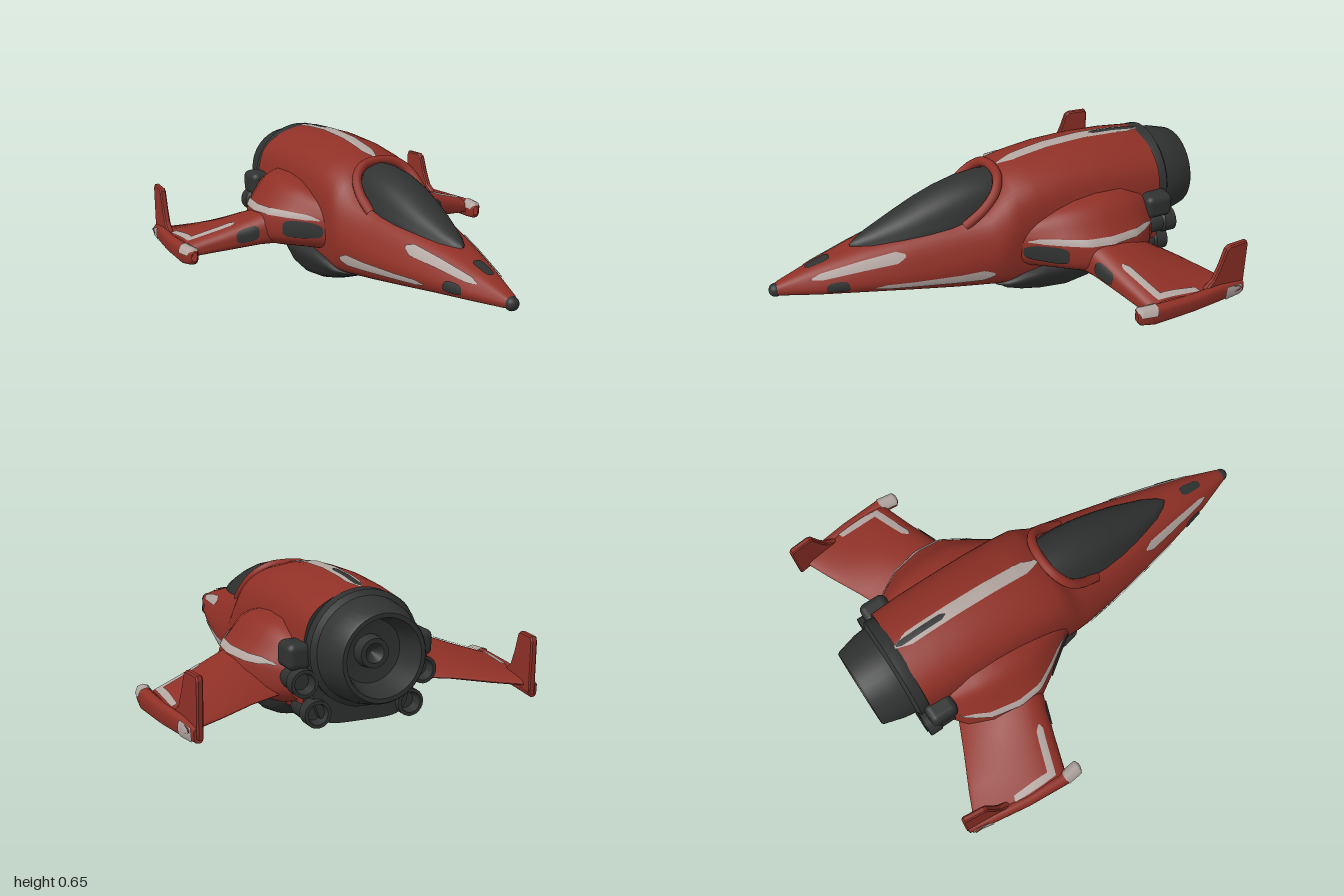
import * as THREE from 'three';
import { mergeVertices, toCreasedNormals } from 'three/addons/utils/BufferGeometryUtils.js';
import { RoundedBoxGeometry } from 'three/addons/geometries/RoundedBoxGeometry.js';

const lerp = THREE.MathUtils.lerp;
const paint = (name, color) => {
  const m = new THREE.MeshStandardMaterial({ color, side: THREE.DoubleSide });
  m.name = name;
  return m;
};

// Quad grid over f(s, t), both 0..1, facing dt x ds
function grid(f, ns, nt) {
  const pos = [], index = [];
  for (let j = 0; j <= nt; j++)
    for (let i = 0; i <= ns; i++) pos.push(...f(i / ns, j / nt).toArray());
  for (let j = 0; j < nt; j++)
    for (let i = 0; i < ns; i++) {
      const a = j * (ns + 1) + i, b = a + 1, c = a + ns + 1, d = c + 1;
      index.push(a, c, b, b, c, d);
    }
  let g = new THREE.BufferGeometry();
  g.setAttribute('position', new THREE.Float32BufferAttribute(pos, 3));
  g.setIndex(index);
  g = mergeVertices(g, 1e-5);
  g.computeVertexNormals();
  return g;
}

// Lofted surface: each key row starts with its station, section(row) gives the outline points
function loft(keys, section, closed = true) {
  const dir = Math.sign(keys.at(-1)[0] - keys[0][0]);
  const row = (c) => {
    let i = 0;
    while (i < keys.length - 2 && (c - keys[i + 1][0]) * dir > 0) i++;
    const [a, b] = [keys[i], keys[i + 1]];
    const t = THREE.MathUtils.clamp((c - a[0]) / (b[0] - a[0]), 0, 1);
    return a.map((v, k) => lerp(v, b[k], t));
  };
  const at = (u, c) => {
    const pts = section(row(c)).map((p) => new THREE.Vector3(...p));
    const w = closed ? ((u % 1) + 1) % 1 : u;
    return new THREE.CatmullRomCurve3(pts, closed, 'catmullrom', 0.5).getPoint(w);
  };
  const raised = (u, c, h) => {
    const e = 0.004;
    const du = at(u + e, c).sub(at(u - e, c));
    const dv = at(u, c + dir * e).sub(at(u, c - dir * e));
    return at(u, c).addScaledVector(dv.cross(du).normalize(), h);
  };
  return {
    skin: (nu) => grid((s, t) => at(s, keys[Math.round(t * (keys.length - 1))][0]), nu, keys.length - 1),
    // Closes the last station
    cap: (nu) => {
      const c = keys.at(-1)[0], mid = new THREE.Vector3();
      for (let i = 0; i < nu; i++) mid.addScaledVector(at(i / nu, c), 1 / nu);
      return grid((s, t) => at(s, c).lerp(mid, t), nu, 1);
    },
    // Painted band, tapered towards both ends
    band: (u0, u1, c0, c1, h = 0.005) => grid((s, t) => {
      const w = Math.min(1, 0.25 + 8 * Math.min(t, 1 - t));
      return raised(lerp(u0, u1, 0.5 + (s - 0.5) * w), lerp(c0, c1, t), h);
    }, 4, 30),
    // Rounded painted opening
    spot: (u0, c0, ru, rc, h = 0.005) => grid((s, t) => {
      const p = (v) => Math.sign(v) * Math.abs(v) ** 0.6, a = s * Math.PI * 2;
      return raised(u0 + ru * t * p(Math.cos(a)), c0 - dir * rc * t * p(Math.sin(a)), h);
    }, 32, 4),
  };
}

const mirrorHalf = (half) => [...half, ...half.slice(1, -1).reverse().map(([x, y, z]) => [-x, y, z])];

// Turned part whose axis points backwards; profile is [radius, distance back]
const turned = (profile, n) => toCreasedNormals(
  new THREE.LatheGeometry(profile.map((p) => new THREE.Vector2(...p)), n).rotateX(-Math.PI / 2), 0.6);

export function createModel() {
  const model = new THREE.Group();
  model.name = 'starship';
  const red = paint('hull red', 0x8f3026);
  const pale = paint('stripe pale grey', 0xb3a6a1);
  const dark = paint('dark grey', 0x303131);
  const add = (parent, name, geo, mat, x = 0, y = 0, z = 0) => {
    const m = new THREE.Mesh(geo, mat);
    m.name = name;
    m.position.set(x, y, z);
    parent.add(m);
    return m;
  };

  // Fuselage: z, half width, bottom, chine, side top, shoulder half width, shoulder, top
  const hull = loft([
    [0.99, 0.02, 0.195, 0.203, 0.21, 0.012, 0.22, 0.225],
    [0.95, 0.035, 0.186, 0.2, 0.215, 0.025, 0.235, 0.242],
    [0.8, 0.088, 0.175, 0.195, 0.225, 0.05, 0.278, 0.292],
    [0.6, 0.14, 0.155, 0.19, 0.24, 0.085, 0.325, 0.348],
    [0.4, 0.183, 0.13, 0.18, 0.25, 0.12, 0.362, 0.382],
    [0.2, 0.222, 0.105, 0.17, 0.27, 0.148, 0.395, 0.41],
    [0.03, 0.247, 0.084, 0.162, 0.3, 0.168, 0.43, 0.45],
    [-0.03, 0.25, 0.08, 0.16, 0.36, 0.17, 0.5, 0.535],
    [-0.08, 0.25, 0.08, 0.16, 0.41, 0.172, 0.54, 0.59],
    [-0.18, 0.25, 0.08, 0.16, 0.43, 0.176, 0.56, 0.615],
    [-0.32, 0.25, 0.08, 0.16, 0.44, 0.18, 0.575, 0.637],
    [-0.5, 0.25, 0.08, 0.16, 0.44, 0.18, 0.58, 0.645],
    [-0.66, 0.248, 0.09, 0.16, 0.44, 0.18, 0.572, 0.637],
    [-0.79, 0.243, 0.1, 0.16, 0.43, 0.178, 0.558, 0.62],
  ], ([z, w, yb, yc, ys, wt, ysh, yt]) => mirrorHalf([
    [0, yb, z], [w * 0.75, lerp(yb, yc, 0.2), z], [w, yc, z], [w, ys, z], [wt, ysh, z], [0, yt, z]]));
  add(model, 'fuselage', hull.skin(60), red);
  add(model, 'rearBulkhead', hull.cap(60), dark);
  add(model, 'noseTip', new THREE.SphereGeometry(0.03, 20, 14), dark, 0, 0.207, 0.968);
  add(model, 'noseSensor', hull.spot(0.5, 0.775, 0.04, 0.055), dark);
  add(model, 'dorsalStripe', hull.band(0.484, 0.516, -0.08, -0.79), pale);
  add(model, 'dorsalSlot', hull.band(0.493, 0.507, -0.54, -0.785, 0.008), dark);

  // Canopy: z, half width, top, base
  const canopy = loft([
    [0.625, 0.006, 0.35, 0.32], [0.6, 0.032, 0.368, 0.32], [0.54, 0.06, 0.397, 0.33],
    [0.4, 0.1, 0.458, 0.345], [0.3, 0.12, 0.503, 0.355], [0.2, 0.134, 0.54, 0.365],
    [0.1, 0.14, 0.566, 0.38], [0, 0.135, 0.577, 0.4], [-0.07, 0.11, 0.574, 0.42],
  ], ([z, w, yt, yb]) => mirrorHalf([
    [0, yb - 0.03, z], [w, yb, z], [w * 0.92, lerp(yb, yt, 0.45), z], [w * 0.6, lerp(yb, yt, 0.83), z], [0, yt, z]]));
  add(model, 'canopy', canopy.skin(40), dark);
  const rim = [[0.15, 0.4, 0.14], [0.155, 0.47, 0.05], [0.135, 0.53, -0.01], [0.08, 0.572, -0.045]];
  const rimPath = new THREE.CatmullRomCurve3([
    ...rim, [0, 0.582, -0.055], ...[...rim].reverse().map(([x, y, z]) => [-x, y, z]),
  ].map((p) => new THREE.Vector3(...p)));
  add(model, 'canopyRim', new THREE.TubeGeometry(rimPath, 40, 0.022, 10), red);

  // Belly engine housing: z, half width, bottom, top
  const belly = loft([
    [0.01, 0.19, 0.088, 0.1], [-0.03, 0.232, 0.062, 0.125], [-0.1, 0.25, 0.037, 0.15],
    [-0.2, 0.256, 0.014, 0.17], [-0.33, 0.256, 0, 0.172], [-0.44, 0.25, 0.016, 0.172],
    [-0.52, 0.235, 0.055, 0.172], [-0.58, 0.225, 0.082, 0.18], [-0.82, 0.2, 0.085, 0.25],
  ], ([z, w, yb, yt]) => mirrorHalf([
    [0, yb, z], [w * 0.75, yb + 0.008, z], [w, lerp(yb, yt, 0.4), z], [w, yt, z], [0, yt + 0.02, z]]));
  add(model, 'bellyHousing', belly.skin(48), dark);
  add(model, 'bellyRear', belly.cap(48), dark);

  // Main engine
  add(model, 'mainEngine', turned([
    [0, 0.75], [0.225, 0.76], [0.238, 0.79], [0.238, 0.835], [0.216, 0.85], [0.21, 0.9], [0.185, 0.99],
    [0.178, 1], [0.16, 1], [0.145, 0.95], [0.13, 0.88], [0, 0.86]], 36), dark, 0, 0.385, 0);
  add(model, 'mainEngineHub', turned([[0.07, 0.85], [0.06, 0.92], [0.04, 0.92], [0, 0.88]], 20), dark, 0, 0.385, 0);

  // Wing root fairing: z, outer x, inner top, outer top, bottom
  const root = loft([
    [-0.06, 0.24, 0.36, 0.33, 0.2], [-0.15, 0.3, 0.41, 0.34, 0.19], [-0.25, 0.37, 0.45, 0.34, 0.18],
    [-0.34, 0.425, 0.475, 0.34, 0.17], [-0.45, 0.437, 0.488, 0.335, 0.16], [-0.58, 0.41, 0.485, 0.33, 0.155],
    [-0.68, 0.35, 0.44, 0.33, 0.16], [-0.74, 0.28, 0.38, 0.31, 0.18],
  ], ([z, wo, yt, ym, yb]) => [
    [0.18, yb, z], [lerp(0.18, wo, 0.6), yb - 0.005, z], [wo, yb + 0.04, z], [wo, ym - 0.03, z],
    [lerp(0.2, wo, 0.8), lerp(ym, yt, 0.25), z], [lerp(0.2, wo, 0.45), lerp(ym, yt, 0.8), z], [0.18, yt, z]], false);

  // Wing: x, leading z, trailing z, bottom, top
  const wing = loft([
    [0.28, -0.27, -0.67, 0.17, 0.355], [0.45, -0.34, -0.745, 0.163, 0.31],
    [0.6, -0.39, -0.815, 0.147, 0.257], [0.765, -0.44, -0.885, 0.132, 0.205],
  ], ([x, zl, zt, yb, yt]) => [
    [x, lerp(yb, yt, 0.5), zl], [x, lerp(yb, yt, 0.88), zl - 0.025], [x, yt, lerp(zl, zt, 0.25)],
    [x, lerp(yb, yt, 0.8), lerp(zl, zt, 0.6)], [x, yb + 0.045, zt], [x, yb + 0.02, zt],
    [x, yb, lerp(zl, zt, 0.5)], [x, lerp(yb, yt, 0.1), zl - 0.025]]);

  // Wing tip rail: z, centre x, half width, centre y, half height
  const tip = loft([
    [-0.372, 0.772, 0.012, 0.165, 0.02], [-0.385, 0.775, 0.026, 0.165, 0.038], [-0.45, 0.783, 0.026, 0.162, 0.044],
    [-0.65, 0.773, 0.022, 0.16, 0.04], [-0.8, 0.752, 0.021, 0.16, 0.04], [-0.93, 0.73, 0.018, 0.152, 0.03],
  ], ([z, cx, w, cy, h]) => [
    [cx, cy - h, z], [cx + w * 0.9, cy - h * 0.7, z], [cx + w, cy + h * 0.6, z],
    [cx, cy + h, z], [cx - w, cy + h * 0.6, z], [cx - w * 0.9, cy - h * 0.7, z]]);

  // Tip fin outline as [distance back, height]
  const finShape = new THREE.Shape([[0.7, 0.17], [0.77, 0.225], [0.8, 0.29], [0.825, 0.365],
    [0.84, 0.375], [0.925, 0.375], [0.932, 0.36], [0.93, 0.14]].map((p) => new THREE.Vector2(...p)));
  const finGeo = new THREE.ExtrudeGeometry(finShape, {
    depth: 0.016, bevelThickness: 0.006, bevelSize: 0.006, bevelSegments: 1 });
  finGeo.translate(-0.82, 0, -0.008).rotateY(Math.PI / 2);

  const nozzle = turned([[0.03, 0.64], [0.05, 0.69], [0.05, 0.78], [0.057, 0.79], [0.057, 0.845],
    [0.043, 0.845], [0.035, 0.8], [0, 0.8]], 24);

  // Everything that comes in pairs
  for (const side of [1, -1]) {
    const half = new THREE.Group();
    half.name = side > 0 ? 'leftSide' : 'rightSide';
    half.scale.x = side;
    model.add(half);
    add(half, 'noseTopStripe', hull.band(0.342, 0.382, 0.82, 0.42), pale);
    add(half, 'noseLowerStripe', hull.band(0.2, 0.245, 0.57, 0.04), pale);
    add(half, 'noseVent', hull.spot(0.265, 0.72, 0.05, 0.048), dark);
    add(half, 'wingRoot', root.skin(40), red);
    add(half, 'wingRootStripe', root.band(0.525, 0.6, -0.11, -0.7), pale);
    add(half, 'airIntake', root.spot(0.43, -0.175, 0.075, 0.085), dark);
    add(half, 'wing', wing.skin(48), red);
    add(half, 'wingIntake', wing.spot(0.02, 0.51, 0.07, 0.05), dark);
    add(half, 'wingEdgeStripe', wing.band(0.17, 0.22, 0.54, 0.75), pale);
    add(half, 'wingTipStripe', wing.band(0.17, 0.37, 0.725, 0.758), pale);
    add(half, 'tipRail', tip.skin(30), red);
    add(half, 'tipRailRear', tip.cap(30), red);
    add(half, 'tipRailFrontMark', tip.band(0.28, 0.72, -0.376, -0.46), pale);
    add(half, 'tipRailRearMark', tip.band(0.12, 0.36, -0.82, -0.92), pale);
    add(half, 'tipFin', finGeo, red, 0.735, 0, -0.82).rotation.y = 0.1;
    add(half, 'engineBlock', new RoundedBoxGeometry(0.1, 0.11, 0.13, 3, 0.03), dark, 0.27, 0.37, -0.755);
    add(half, 'upperNozzle', nozzle, dark, 0.262, 0.27, 0);
    add(half, 'lowerNozzle', nozzle, dark, 0.205, 0.14, 0);
  }
  return model;
}
